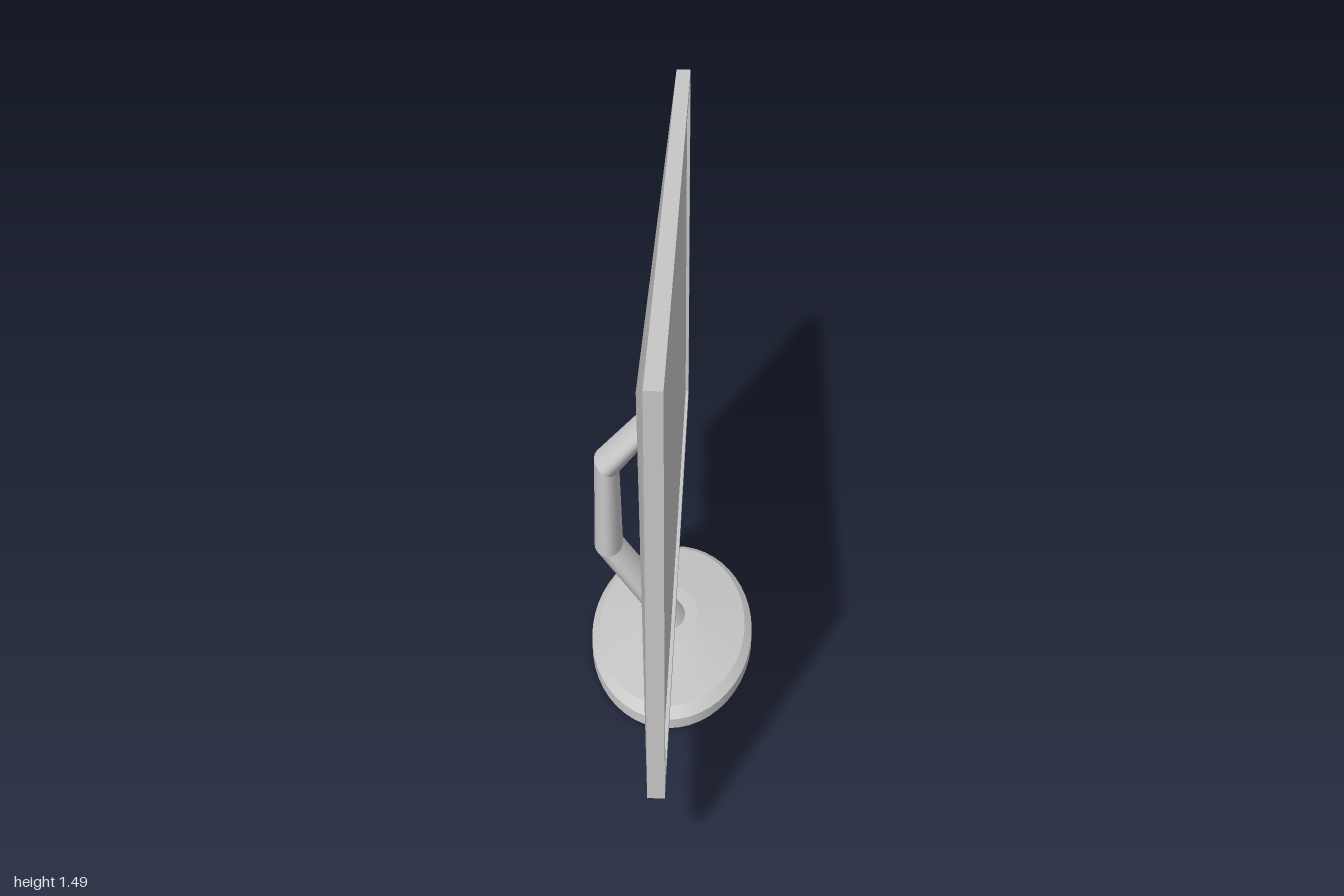
import * as THREE from 'three';

const grey = new THREE.MeshStandardMaterial({ color: 0xc6c6c6 });
grey.name = 'plain grey';

function add(parent, name, geometry) {
  const mesh = new THREE.Mesh(geometry, grey);
  mesh.name = name;
  parent.add(mesh);
  return mesh;
}

function rectangle(Type, w, h) {
  const r = new Type();
  r.moveTo(-w, -h).lineTo(w, -h).lineTo(w, h).lineTo(-w, h).closePath();
  return r;
}

// Tube with elliptical sections; each section is given by its back and front points [x, y]
function armGeometry(sections, halfWidth, sides) {
  const out = [];
  const point = (s, i) => {
    const a = (i / sides) * Math.PI * 2;
    const t = (1 + Math.cos(a)) / 2;
    return new THREE.Vector3(
      s[0] + (s[2] - s[0]) * t, s[1] + (s[3] - s[1]) * t, -Math.sin(a) * halfWidth);
  };
  // each straight length has its own vertices around, so the bends stay crisp
  const positions = [], index = [];
  for (let k = 0; k < sections.length - 1; k++) {
    const base = positions.length / 3;
    for (let i = 0; i < sides; i++) {
      positions.push(...point(sections[k], i).toArray(), ...point(sections[k + 1], i).toArray());
    }
    for (let i = 0; i < sides; i++) {
      const a = base + i * 2, b = base + ((i + 1) % sides) * 2;
      index.push(a, b, b + 1, a, b + 1, a + 1);
    }
  }
  const g = new THREE.BufferGeometry();
  g.setAttribute('position', new THREE.Float32BufferAttribute(positions, 3));
  g.setIndex(index);
  g.computeVertexNormals();
  return g;
}

export function createModel() {
  const model = new THREE.Group();
  model.name = 'monitor';

  // Display, facing +x
  const display = new THREE.Group();
  display.name = 'display';
  display.position.y = 0.89;
  model.add(display);

  const halfW = 1, halfH = 0.602, border = 0.03, back = -0.025, front = 0.02;
  const outline = rectangle(THREE.Shape, halfW, halfH);
  outline.holes.push(rectangle(THREE.Path, halfW - border, halfH - border));
  const bezel = new THREE.ExtrudeGeometry(outline, { depth: front - back, bevelEnabled: false });
  bezel.rotateY(Math.PI / 2).translate(back, 0, 0);
  add(display, 'bezel', bezel);

  // Recessed screen
  const screen = new THREE.PlaneGeometry((halfW - border) * 2, (halfH - border) * 2);
  screen.rotateY(Math.PI / 2).translate(front - 0.01, 0, 0);
  add(display, 'screen', screen);

  // Shallow pyramid back
  const shell = new THREE.BufferGeometry();
  shell.setAttribute('position', new THREE.Float32BufferAttribute([
    back, -halfH, -halfW, back, -halfH, halfW, back, halfH, halfW, back, halfH, -halfW,
    -0.105, 0, 0], 3));
  shell.setIndex([0, 1, 4, 1, 2, 4, 2, 3, 4, 3, 0, 4]);
  shell.computeVertexNormals();
  add(display, 'backShell', shell);

  // Bent arm
  add(model, 'arm', armGeometry([
    [-0.045, 0.075, 0.045, 0.075],
    [-0.236, 0.355, -0.15, 0.355],
    [-0.23, 0.667, -0.157, 0.628],
    [-0.04, 0.87, -0.04, 0.78]], 0.072, 32));

  // Oval foot, one band per profile step so its rims stay sharp
  const foot = new THREE.Group();
  foot.name = 'foot';
  foot.scale.set(0.25, 1, 0.428);
  model.add(foot);
  const profile = [[0, 0], [1, 0], [1, 0.033], [0.91, 0.053], [0.32, 0.083], [0, 0.083]]
    .map(([r, y]) => new THREE.Vector2(r, y));
  ['footBottom', 'footRim', 'footBevel', 'footSlope', 'footTop'].forEach((name, i) => {
    add(foot, name, new THREE.LatheGeometry([profile[i], profile[i + 1]], 48));
  });

  return model;
}
